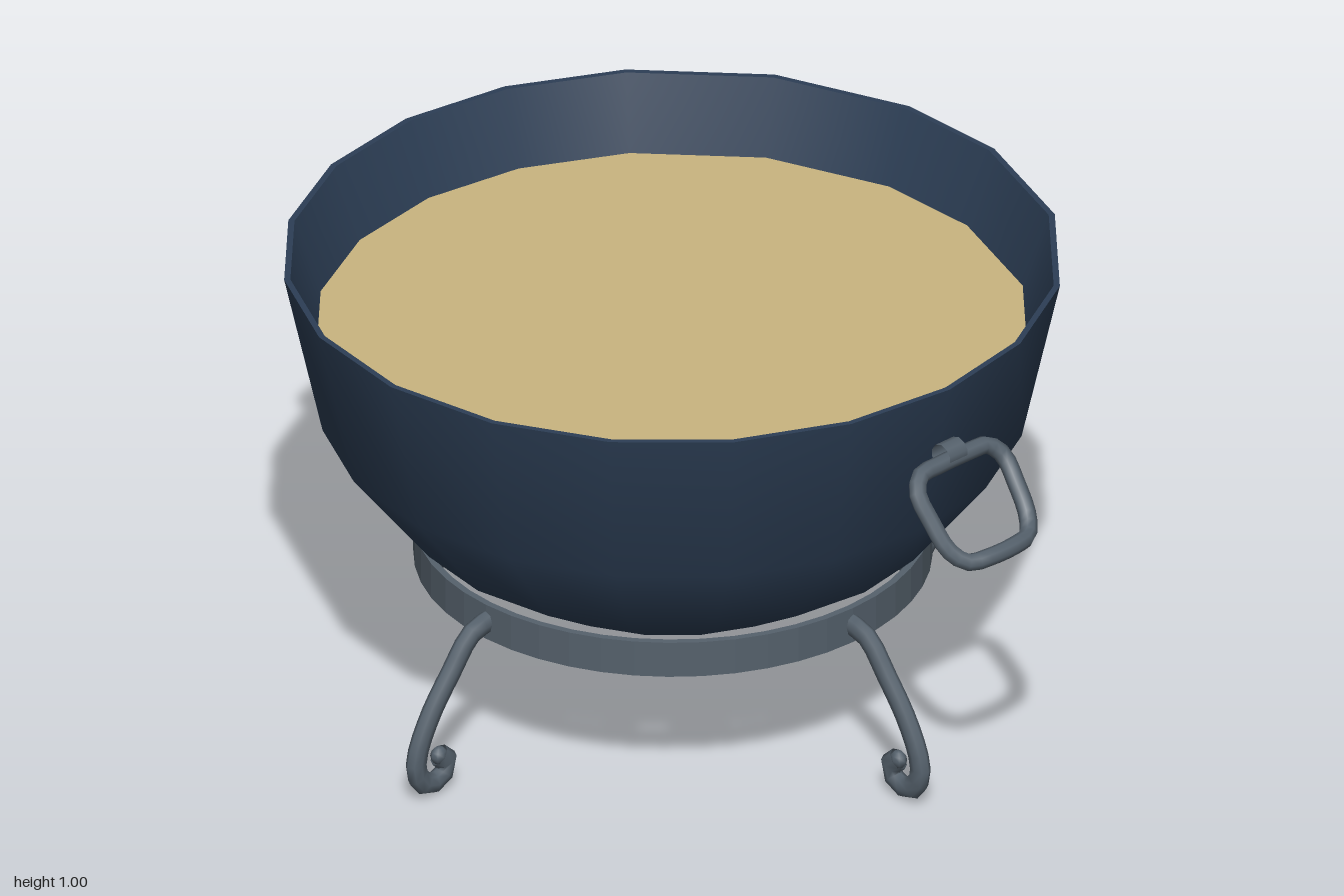
import * as THREE from 'three';

const bowlBlue = new THREE.MeshStandardMaterial({ color: 0x2c3e55, side: THREE.DoubleSide });
bowlBlue.name = 'bowlBlue';
const ironGrey = new THREE.MeshStandardMaterial({ color: 0x55616c, side: THREE.DoubleSide });
ironGrey.name = 'ironGrey';
const sandTan = new THREE.MeshStandardMaterial({ color: 0xcab580 });
sandTan.name = 'sandTan';

// Slightly uneven corner angles of the bowl, from the front (+z) round to the back
const HALF = [0, 18.5, 36.8, 55, 73.2, 91, 108.5, 127, 149, 171];
const ANGLES = [...HALF, ...HALF.slice(1).reverse().map((a) => 360 - a), 360];
const SIDES = ANGLES.length - 1;

function add(parent, name, geometry, material) {
  const mesh = new THREE.Mesh(geometry, material);
  mesh.name = name;
  parent.add(mesh);
  return mesh;
}

// Lathe whose columns are turned to the uneven corner angles
function unevenLathe(profile) {
  const geo = new THREE.LatheGeometry(profile.map(([r, y]) => new THREE.Vector2(r, y)), SIDES);
  const pos = geo.attributes.position, nor = geo.attributes.normal;
  const v = new THREE.Vector3(), up = new THREE.Vector3(0, 1, 0);
  for (let i = 0; i < pos.count; i++) {
    const column = Math.floor(i / profile.length);
    const turn = THREE.MathUtils.degToRad(ANGLES[column] - (column * 360) / SIDES);
    for (const attr of [pos, nor]) {
      v.fromBufferAttribute(attr, i).applyAxisAngle(up, turn);
      attr.setXYZ(i, v.x, v.y, v.z);
    }
  }
  return geo;
}

function tube(points, segments, radius, closed) {
  const curve = new THREE.CatmullRomCurve3(points.map((p) => new THREE.Vector3(...p)), closed, 'centripetal');
  return new THREE.TubeGeometry(curve, segments, radius, 8, closed);
}

// Leg that sweeps outwards from the ring and curls inwards at the foot
function makeLeg() {
  const leg = new THREE.Group();
  leg.name = 'leg';
  const path = [
    [0.52, 0.345, 0], [0.58, 0.33, 0], [0.635, 0.265, 0], [0.695, 0.185, 0], [0.733, 0.105, 0],
    [0.735, 0.06, 0], [0.708, 0.026, 0], [0.668, 0.026, 0], [0.648, 0.058, 0], [0.672, 0.08, 0],
  ];
  add(leg, 'legBar', tube(path, 18, 0.025, false).scale(1, 1, 0.72), ironGrey);
  const tip = new THREE.SphereGeometry(0.02, 8, 6).scale(1, 1, 0.8).translate(0.672, 0.08, 0);
  add(leg, 'legTip', tip, ironGrey);
  return leg;
}

// Hanging loop handle held by a collar on the bowl wall
function makeHandle() {
  const handle = new THREE.Group();
  handle.name = 'handle';
  const half = [
    [0.835, 0.853, 0.05], [0.837, 0.85, 0.095], [0.856, 0.825, 0.122],
    [0.895, 0.775, 0.122], [0.94, 0.718, 0.112], [0.968, 0.693, 0.085], [0.98, 0.692, 0.04],
  ];
  const loop = [...half, ...half.slice().reverse().map(([x, y, z]) => [x, y, -z])];
  add(handle, 'handleLoop', tube(loop, 36, 0.019, true), ironGrey);
  const collar = new THREE.CylinderGeometry(0.028, 0.028, 0.05, 10, 1, true).rotateX(Math.PI / 2);
  add(handle, 'handleCollar', collar, ironGrey).position.set(0.825, 0.862, 0);
  return handle;
}

export function createModel() {
  const model = new THREE.Group();
  model.name = 'fireBowl';

  // Bowl: outer shell, thin rim and inner wall
  const bowl = new THREE.Group();
  bowl.name = 'bowl';
  model.add(bowl);
  add(bowl, 'outerShell', unevenLathe([
    [0, 0.22], [0.12, 0.225], [0.37, 0.308], [0.56, 0.425], [0.73, 0.64], [0.81, 1],
  ]), bowlBlue);
  add(bowl, 'rim', unevenLathe([[0.81, 1], [0.797, 1]]), bowlBlue);
  add(bowl, 'innerWall', unevenLathe([[0.797, 1], [0.742, 0.84], [0.7, 0.7]]), bowlBlue);

  // Flat filling
  add(model, 'sand', unevenLathe([[0.743, 0.84], [0, 0.84]]), sandTan);

  // Stand: flat band with four legs
  const stand = new THREE.Group();
  stand.name = 'stand';
  model.add(stand);
  const bandShape = new THREE.Shape().absarc(0, 0, 0.537, 0, Math.PI * 2);
  bandShape.holes.push(new THREE.Path().absarc(0, 0, 0.522, 0, Math.PI * 2, true));
  const band = new THREE.ExtrudeGeometry(bandShape, { depth: 0.08, bevelEnabled: false, curveSegments: 24 });
  add(stand, 'supportRing', band.rotateX(-Math.PI / 2).translate(0, 0.303, 0), ironGrey);
  for (let i = 0; i < 4; i++) {
    const leg = makeLeg();
    leg.rotation.y = (i * Math.PI) / 2;
    stand.add(leg);
  }

  // Handles on both sides
  for (const turn of [0, Math.PI]) {
    const handle = makeHandle();
    handle.rotation.y = turn;
    model.add(handle);
  }
  return model;
}
